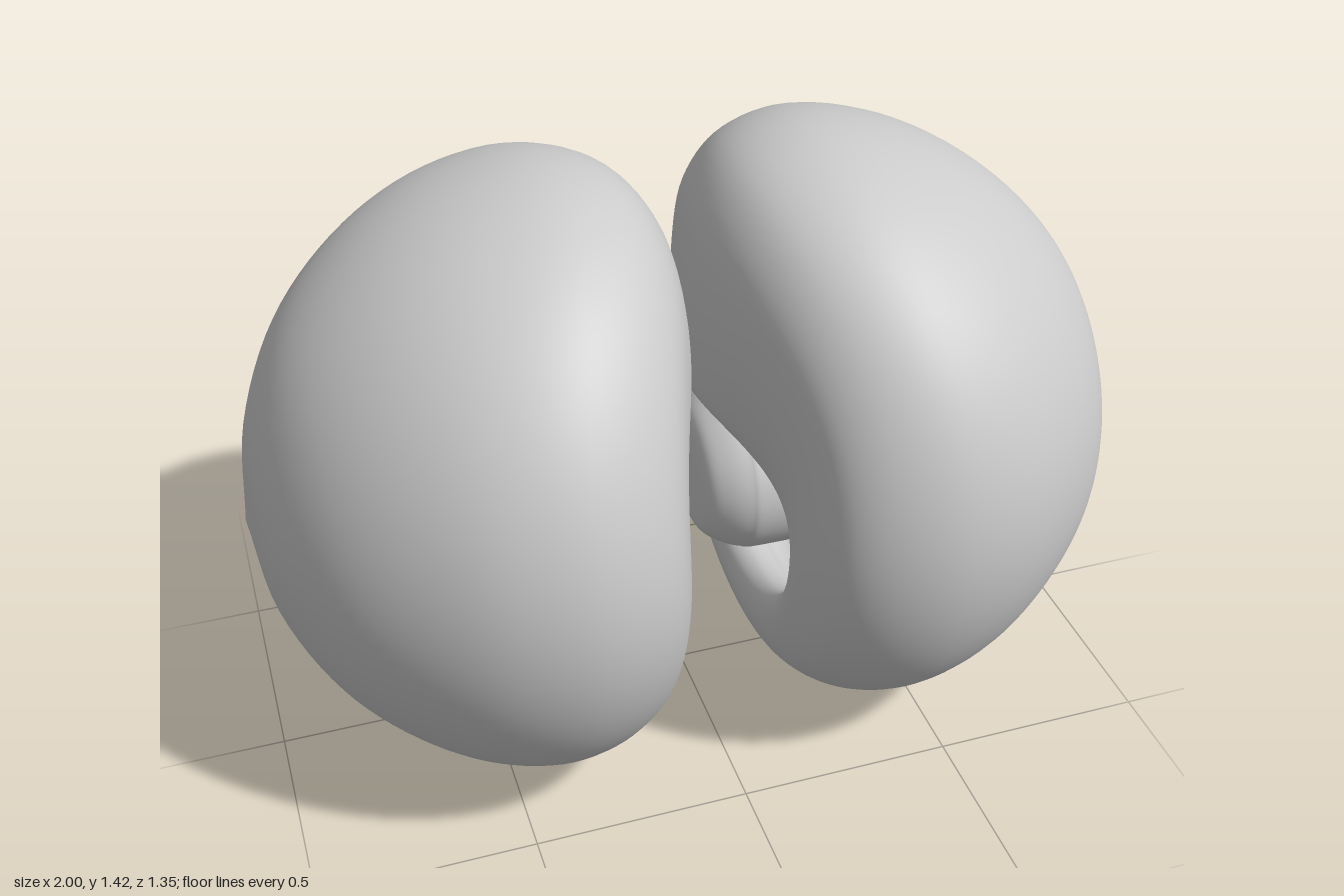
import * as THREE from 'three';

// Shell profile from the outer pole, round the rim and into the cavity.
// Each row: x and y on the top line, x and y on the bottom line, x and z on the side line.
const PROFILE = [
  [1.0, 0.68, 1.0, 0.68, 1.0, 0],
  [0.97, 0.89, 0.965, 0.47, 0.965, 0.21],
  [0.87, 1.11, 0.86, 0.27, 0.86, 0.41],
  [0.7, 1.28, 0.72, 0.13, 0.72, 0.55],
  [0.5, 1.385, 0.56, 0.04, 0.56, 0.645],
  [0.29, 1.42, 0.4, 0.005, 0.4, 0.677],
  [0.14, 1.375, 0.26, 0.035, 0.27, 0.65],
  [0.06, 1.28, 0.17, 0.11, 0.18, 0.59],
  [0.018, 1.13, 0.14, 0.2, 0.135, 0.5],
  [0.003, 0.95, 0.155, 0.26, 0.125, 0.41],
  [0.012, 0.84, 0.19, 0.285, 0.15, 0.35],
  [0.05, 0.805, 0.23, 0.28, 0.19, 0.33],
  [0.09, 0.83, 0.27, 0.25, 0.24, 0.34],
  [0.15, 0.88, 0.32, 0.25, 0.3, 0.35],
  [0.27, 0.86, 0.37, 0.32, 0.37, 0.27],
  [0.34, 0.59, 0.39, 0.59, 0.39, 0],
];
const AROUND = 96, ALONG = 90;

// Sweeps the profile round the x axis, blending top, side and bottom lines
function shellGeometry(side) {
  const positions = [], index = [];
  for (let j = 0; j < AROUND; j++) {
    const angle = (j / AROUND) * Math.PI * 2;
    const c = Math.cos(angle), s = Math.sin(angle);
    const points = PROFILE.map(([xt, yt, xb, yb, xs, zs]) => {
      const x = xs + ((c > 0 ? xt : xb) - xs) * Math.abs(c) ** 3;
      return new THREE.Vector3(side * x, (yt + yb) / 2 + (c * (yt - yb)) / 2, s * zs);
    });
    const curve = new THREE.CatmullRomCurve3(points, false, 'centripetal');
    for (let i = 0; i <= ALONG; i++) positions.push(...curve.getPoint(i / ALONG).toArray());
  }
  const id = (i, j) => (j % AROUND) * (ALONG + 1) + i;
  for (let j = 0; j < AROUND; j++) {
    for (let i = 0; i < ALONG; i++) {
      const a = id(i, j), b = id(i + 1, j), d = id(i, j + 1), e = id(i + 1, j + 1);
      if (side > 0) index.push(a, b, d, b, e, d);
      else index.push(a, d, b, b, d, e);
    }
  }
  const geometry = new THREE.BufferGeometry();
  geometry.setAttribute('position', new THREE.Float32BufferAttribute(positions, 3));
  geometry.setIndex(index);
  geometry.computeVertexNormals();
  return geometry;
}

// Rounded stub that stands in the cavity
function coreGeometry() {
  const curve = new THREE.SplineCurve(
    [[0, 0.016], [0.1, 0.017], [0.15, 0.028], [0.183, 0.065], [0.203, 0.11], [0.21, 0.16], [0.21, 0.4]]
      .map(([r, x]) => new THREE.Vector2(r, x)));
  const points = curve.getPoints(36);
  points.forEach((p) => { p.x = Math.max(0, p.x); });
  return new THREE.LatheGeometry(points, 64);
}

export function createModel() {
  const model = new THREE.Group();
  const material = new THREE.MeshStandardMaterial({ color: 0xcccccc });
  for (const [name, side] of [['left', 1], ['right', -1]]) {
    const half = new THREE.Group();
    half.name = name + 'Half';

    const shell = new THREE.Mesh(shellGeometry(side), material);
    shell.name = name + 'Shell';

    const core = new THREE.Mesh(coreGeometry(), material);
    core.name = name + 'Core';
    core.rotation.z = (-side * Math.PI) / 2;
    core.position.y = 0.59;

    half.add(shell, core);
    model.add(half);
  }
  return model;
}
